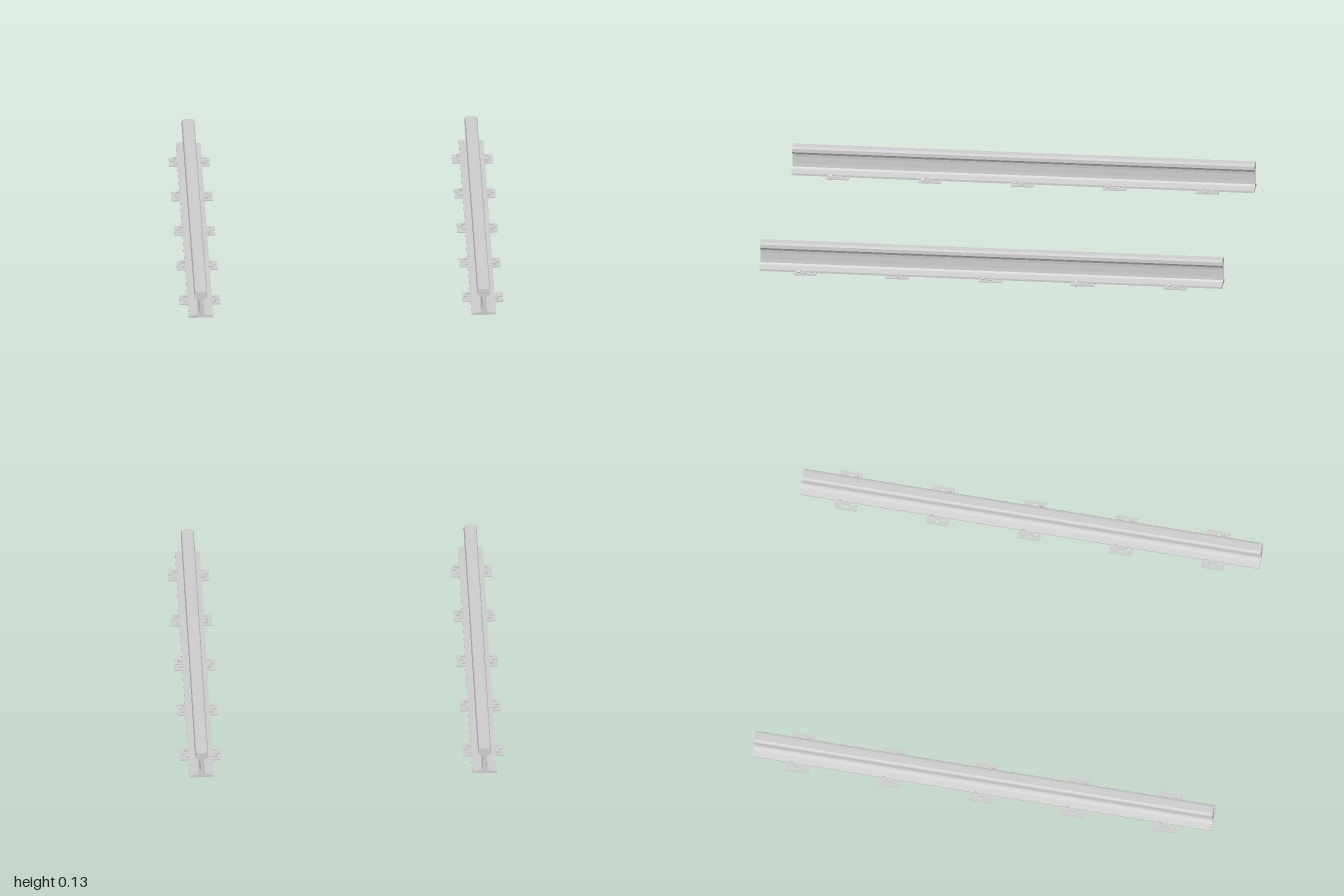
import * as THREE from 'three';

const RAIL_X = 0.608;
const BASE_Y = 0.012;
const grey = new THREE.MeshStandardMaterial({ color: 0xcccccc });

function add(parent, geometry, name) {
  const mesh = new THREE.Mesh(geometry, grey);
  mesh.name = name;
  parent.add(mesh);
  return mesh;
}

// Rail: half cross-section mirrored, extruded along z
function railGeometry() {
  const half = [
    [0.053, BASE_Y], [0.053, 0.020], [0.026, 0.025], [0.013, 0.029],
    [0.008, 0.036], [0.0065, 0.050], [0.0065, 0.080], [0.008, 0.092],
    [0.012, 0.098], [0.025, 0.104], [0.028, 0.108], [0.027, 0.123],
    [0.024, 0.129], [0.016, 0.1315],
  ];
  const points = [...half, ...half.slice().reverse().map(([x, y]) => [-x, y])];
  const shape = new THREE.Shape(points.map(([x, y]) => new THREE.Vector2(x, y)));
  return new THREE.ExtrudeGeometry(shape, { depth: 2, bevelEnabled: false }).translate(0, 0, -1);
}

// Tie plate: flat rectangle with bolt holes
function plateGeometry() {
  const w = 0.088, d = 0.049;
  const shape = new THREE.Shape([
    new THREE.Vector2(-w, -d), new THREE.Vector2(w, -d),
    new THREE.Vector2(w, d), new THREE.Vector2(-w, d),
  ]);
  for (const [x, y] of [[-0.059, -0.029], [-0.073, 0], [0.059, 0.029], [0.073, 0]]) {
    const hole = new THREE.Path();
    hole.absarc(x, y, 0.0085, 0, Math.PI * 2, true);
    shape.holes.push(hole);
  }
  return new THREE.ExtrudeGeometry(shape, { depth: 0.005, bevelEnabled: false, curveSegments: 8 })
    .rotateX(-Math.PI / 2)
    .translate(0, BASE_Y - 0.001, 0);
}

// Spike: hooked head gripping the foot (towards -x) and a tapered shank
function spikeGeometry() {
  const profile = [
    [0.059, 0], [0.066, 0.013], [0.066, 0.017], [0.070, 0.020],
    [0.067, 0.025], [0.058, 0.026], [0.048, 0.023], [0.048, 0.0195],
    [0.056, 0.018], [0.056, 0.006],
  ];
  const shape = new THREE.Shape(profile.map(([x, y]) => new THREE.Vector2(x, y)));
  return new THREE.ExtrudeGeometry(shape, { depth: 0.014, bevelEnabled: false }).translate(0, 0, -0.007);
}

export function createModel() {
  const model = new THREE.Group();
  model.name = 'railwayTrack';
  const rail = railGeometry(), plate = plateGeometry(), spike = spikeGeometry();

  for (const side of [-1, 1]) {
    const track = new THREE.Group();
    track.name = side > 0 ? 'leftRail' : 'rightRail';
    track.position.x = side * RAIL_X;
    add(track, rail, 'rail');

    // Five fastenings, each a plate with two diagonally placed spikes
    for (let i = -2; i <= 2; i++) {
      const fastening = new THREE.Group();
      fastening.name = 'fastening';
      fastening.position.z = i * 0.4;
      add(fastening, plate, 'tiePlate');
      add(fastening, spike, 'spike').position.z = 0.028;
      const opposite = add(fastening, spike, 'spike');
      opposite.rotation.y = Math.PI;
      opposite.position.z = -0.028;
      track.add(fastening);
    }
    model.add(track);
  }
  return model;
}
